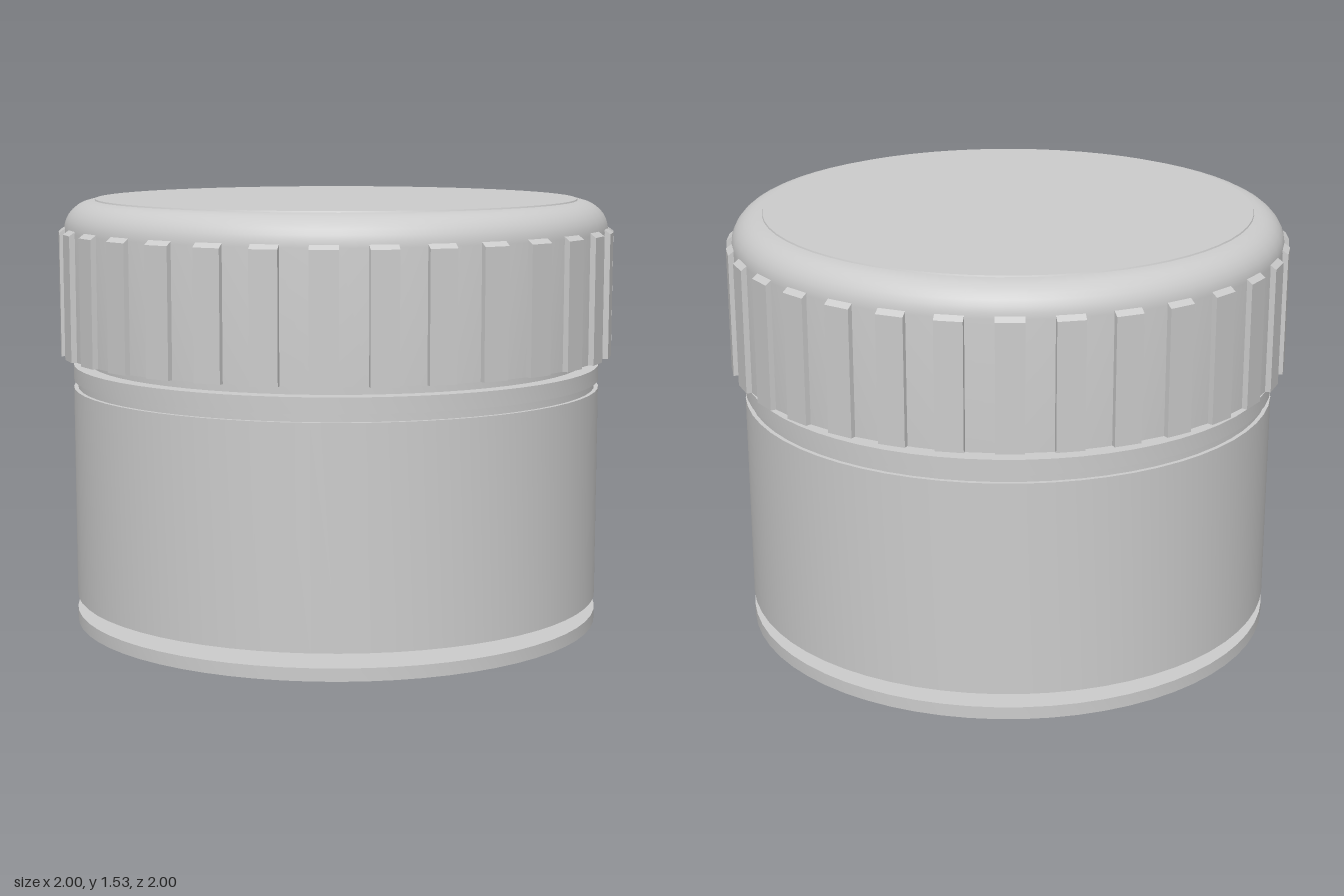
import * as THREE from 'three';
import { toCreasedNormals } from 'three/addons/utils/BufferGeometryUtils.js';

const SIDES = 64;
const RIBS = 32;
const material = new THREE.MeshStandardMaterial({ color: 0xcccccc });

// Revolve a [radius, height] profile, listed from bottom to top
function turned(name, profile) {
  const points = profile.map(([r, y]) => new THREE.Vector2(r, y));
  const geometry = toCreasedNormals(new THREE.LatheGeometry(points, SIDES), 0.5);
  const mesh = new THREE.Mesh(geometry, material);
  mesh.name = name;
  return mesh;
}

// Lid: straight wall, quarter-round shoulder, flat top
function lidProfile() {
  const profile = [[0, 0.98], [0.98, 0.98], [0.98, 1.425]];
  for (let i = 1; i <= 8; i++) {
    const a = (i / 8) * Math.PI / 2;
    profile.push([0.87 + 0.11 * Math.cos(a), 1.425 + 0.105 * Math.sin(a)]);
  }
  profile.push([0.868, 1.535], [0, 1.535]);
  return profile;
}

// Grip rib: bevelled upright bar, extruded along the tangent
function ribGeometry() {
  const width = 0.096;
  const shape = new THREE.Shape([
    [0.95, 0.98], [0.9988, 0.98], [0.9988, 1.42], [0.978, 1.435], [0.95, 1.435],
  ].map(([r, y]) => new THREE.Vector2(r, y)));
  const geometry = new THREE.ExtrudeGeometry(shape, { depth: width, bevelEnabled: false });
  geometry.translate(0, 0, -width / 2);
  geometry.rotateY(-Math.PI / 2); // outward direction becomes +z
  return geometry;
}

export function createModel() {
  const jar = new THREE.Group();
  jar.name = 'jar';

  // Loose base disc below the body
  jar.add(turned('baseDisc', [[0, 0], [0.955, 0], [0.955, 0.045], [0, 0.045]]));

  // Body with a fine groove under its rim, then the neck
  jar.add(turned('body', [
    [0, 0.095], [0.955, 0.095], [0.955, 0.86],
    [0.94, 0.86], [0.94, 0.888], [0.955, 0.888],
    [0.955, 0.943], [0.897, 0.943], [0.897, 0.985], [0, 0.985],
  ]));

  jar.add(turned('lid', lidProfile()));

  // Ribs on every other side of the lid
  const ribs = new THREE.Group();
  ribs.name = 'gripRibs';
  const geometry = ribGeometry();
  for (let i = 0; i < RIBS; i++) {
    const rib = new THREE.Mesh(geometry, material);
    rib.name = 'gripRib';
    rib.rotation.y = (i - 0.25) * Math.PI * 2 / RIBS;
    ribs.add(rib);
  }
  jar.add(ribs);
  return jar;
}
